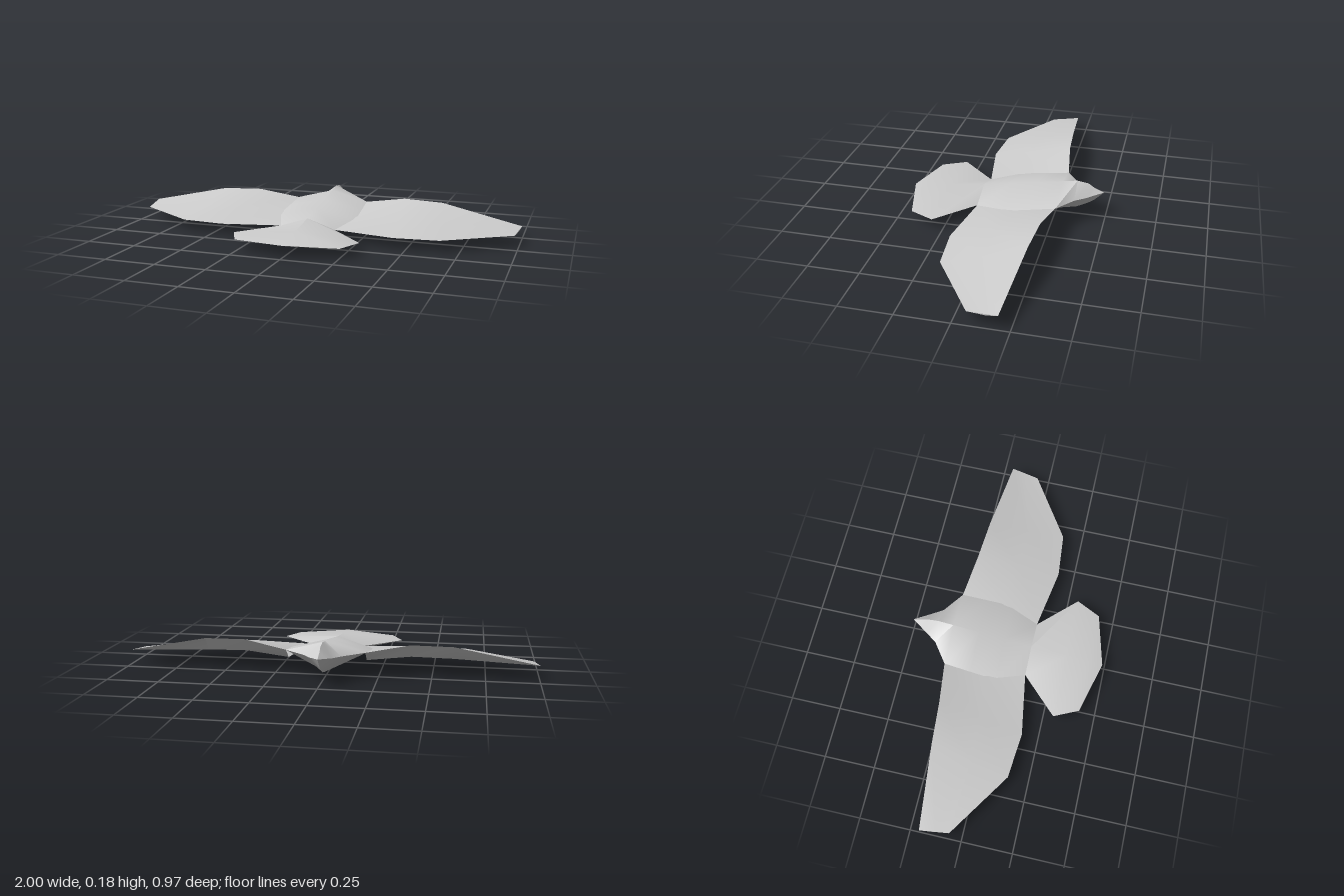
import * as THREE from 'three';
import { mergeVertices, toCreasedNormals } from 'three/addons/utils/BufferGeometryUtils.js';

const plumage = new THREE.MeshStandardMaterial({ color: 0xcccccc, side: THREE.DoubleSide });
plumage.name = 'pale grey plumage';

// Skin a list of closed rings of [x, y, z] points, optionally closing the last ring
function loft(name, rings, capEnd = false) {
  const n = rings[0].length;
  const index = [];
  for (let i = 0; i < rings.length - 1; i++) {
    for (let j = 0; j < n; j++) {
      const k = (j + 1) % n;
      const a = i * n + j, b = i * n + k, c = a + n, d = b + n;
      index.push(a, b, c, b, d, c);
    }
  }
  if (capEnd) {
    const s = (rings.length - 1) * n;
    for (let j = 1; j < n - 1; j++) index.push(s, s + j, s + j + 1);
  }
  const geo = new THREE.BufferGeometry();
  geo.setAttribute('position', new THREE.Float32BufferAttribute(rings.flat(2), 3));
  geo.setIndex(index);
  const mesh = new THREE.Mesh(toCreasedNormals(mergeVertices(geo), 0.75), plumage);
  mesh.name = name;
  return mesh;
}

// Body stations from beak to tail: z, half width, back height, side height, belly height
const bodyStations = [
  [-0.488, 0, 0.137, 0.137, 0.137],
  [-0.44, 0.032, 0.157, 0.13, 0.09],
  [-0.41, 0.052, 0.178, 0.125, 0.07],
  [-0.355, 0.088, 0.187, 0.122, 0.042],
  [-0.28, 0.19, 0.175, 0.125, 0.026],
  [-0.15, 0.2, 0.153, 0.104, 0.003],
  [-0.02, 0.2, 0.132, 0.083, 0.011],
  [0.12, 0.14, 0.11, 0.063, 0.019],
];

// Fanned tail stations, same layout
const tailStations = [
  [0.12, 0.14, 0.11, 0.063, 0.019],
  [0.3, 0.315, 0.088, 0.058, 0.033],
  [0.42, 0.258, 0.078, 0.056, 0.045],
  [0.486, 0, 0.065, 0.065, 0.065],
];

const ring = ([z, w, top, side, belly]) => [[0, top, z], [-w, side, z], [0, belly, z], [w, side, z]];

// Wing sections from root to tip: leading edge, mid back, trailing edge, lower front
const wingSections = [
  [[0.19, 0.125, -0.28], [0.2, 0.094, -0.08], [0.14, 0.063, 0.12], [0.19, 0.075, -0.22]],
  [[0.4, 0.162, -0.25], [0.42, 0.108, -0.04], [0.44, 0.06, 0.17], [0.4, 0.095, -0.2]],
  [[0.6, 0.157, -0.235], [0.63, 0.1, -0.04], [0.66, 0.06, 0.15], [0.6, 0.09, -0.19]],
  [[1, 0.075, -0.2], [0.99, 0.067, -0.13], [0.98, 0.06, -0.06], [0.993, 0.063, -0.15]],
];

export function createModel() {
  const bird = new THREE.Group();
  bird.name = 'glidingBird';
  bird.add(loft('body', bodyStations.map(ring)));
  bird.add(loft('tail', tailStations.map(ring)));
  bird.add(loft('leftWing', wingSections, true));
  // Mirror the points and reverse each ring so faces keep pointing outward
  const mirrored = wingSections.map((s) => s.map(([x, y, z]) => [-x, y, z]).reverse());
  bird.add(loft('rightWing', mirrored, true));
  return bird;
}
